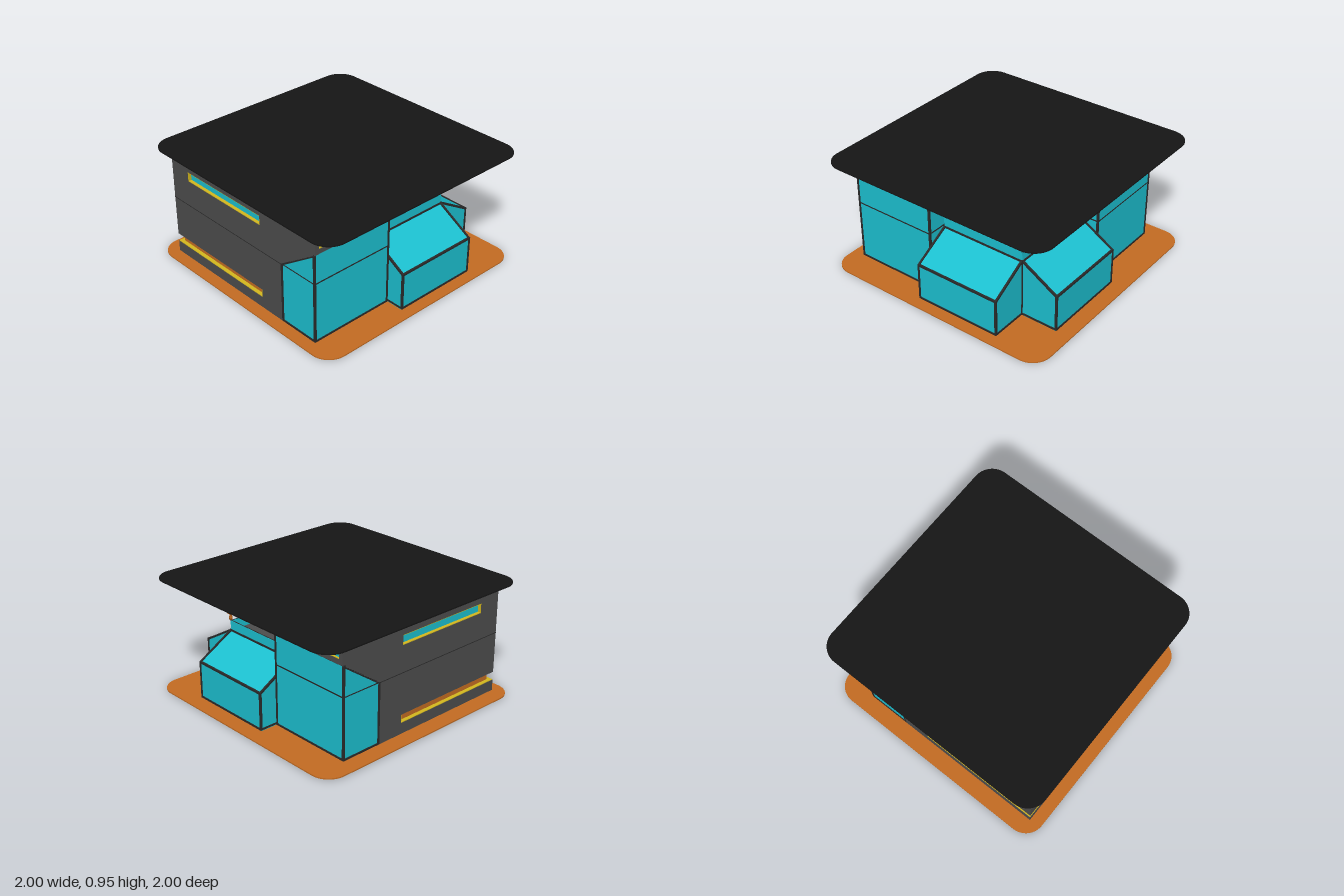
import * as THREE from 'three';

const mat = (color) => new THREE.MeshStandardMaterial({ color });
const M = {
  wall: mat(0x4d4d4d), frame: mat(0x2a2a2a), roof: mat(0x151515),
  glass: mat(0x1cc0d0), orange: mat(0xc46c22), yellow: mat(0xd4b81e),
};
// The plan mirrors over a diagonal: (x, z) -> (C - z, C - x)
const C = 0.035;
const DIAGONAL = new THREE.Matrix4().set(0, 0, -1, C, 0, 1, 0, 0, -1, 0, 0, C, 0, 0, 0, 1);

function mirrored(geo) {
  const g = (geo.index ? geo.toNonIndexed() : geo.clone()).applyMatrix4(DIAGONAL);
  // swap two corners of each triangle so the faces still point outward
  for (const attr of Object.values(g.attributes)) {
    const n = attr.itemSize, a = attr.array;
    for (let i = 0; i < attr.count; i += 3) {
      for (let k = 0; k < n; k++) {
        const p = (i + 1) * n + k, q = (i + 2) * n + k;
        [a[p], a[q]] = [a[q], a[p]];
      }
    }
  }
  return g;
}

// box given by its extents
function block(x0, x1, y0, y1, z0, z1) {
  return new THREE.BoxGeometry(x1 - x0, y1 - y0, z1 - z0)
    .translate((x0 + x1) / 2, (y0 + y1) / 2, (z0 + z1) / 2);
}

// square bar between two points
function bar(a, b, t = 0.016) {
  const p = new THREE.Vector3(...a), q = new THREE.Vector3(...b);
  const dir = q.clone().sub(p);
  const g = new THREE.BoxGeometry(t, dir.length() + t * 0.8, t);
  g.applyQuaternion(new THREE.Quaternion().setFromUnitVectors(new THREE.Vector3(0, 1, 0), dir.normalize()));
  return g.translate(...p.add(q).multiplyScalar(0.5).toArray());
}

// extruded outline in x, y from z0 to z1, with optional rectangular hole
function slab(points, z0, z1, hole) {
  const shape = new THREE.Shape(points.map(([x, y]) => new THREE.Vector2(x, y)));
  if (hole) {
    const [a, b, c, d] = hole;
    shape.holes.push(new THREE.Path([[a, c], [a, d], [b, d], [b, c]].map(([x, y]) => new THREE.Vector2(x, y))));
  }
  return new THREE.ExtrudeGeometry(shape, { depth: z1 - z0, bevelEnabled: false }).translate(0, 0, z0);
}

// flat plate with rounded corners
function plate(y0, y1) {
  const s = new THREE.Shape(), r = 0.16;
  s.absarc(1 - r, 1 - r, r, 0, Math.PI / 2);
  s.absarc(r - 1, 1 - r, r, Math.PI / 2, Math.PI);
  s.absarc(r - 1, r - 1, r, Math.PI, Math.PI * 1.5);
  s.absarc(1 - r, r - 1, r, Math.PI * 1.5, Math.PI * 2);
  return new THREE.ExtrudeGeometry(s, { depth: y1 - y0, bevelEnabled: false, curveSegments: 12 })
    .rotateX(-Math.PI / 2).translate(0, y0, 0);
}

export function createModel() {
  const model = new THREE.Group();
  model.name = 'house';
  const add = (name, geo, material) => {
    const m = new THREE.Mesh(geo, material);
    m.name = name;
    model.add(m);
  };
  const pair = (name, geo, material) => {
    add(name, geo, material);
    add(name + 'Mirrored', mirrored(geo), material);
  };
  // pane with yellow reveals, set into a wall facing +z
  const recess = (x0, x1, y0, y1, zBack, zFront, paneMat, openLeft) => {
    const t = 0.005;
    const parts = [
      [paneMat, block(openLeft ? x0 + 0.035 : x0 - 0.01, x1 + 0.01, y0 - 0.01, y1 + 0.01, zBack - 0.01, zBack)],
      [M.yellow, block(x0, x1, y0, y0 + t, zBack, zFront)],
      [M.yellow, block(x1 - t, x1, y0, y1, zBack, zFront)],
    ];
    if (!openLeft) {
      parts.push([M.yellow, block(x0, x0 + t, y0, y1, zBack, zFront)]);
      parts.push([M.yellow, block(x0, x1, y1 - t, y1, zBack, zFront)]);
    }
    return parts;
  };

  // Ground and roof plates
  add('basePlate', plate(0, 0.01), M.orange);
  add('roofPlate', plate(0.943, 0.953), M.roof);

  // Outer wall with a slanted cut, a window and a low slot open at the corner
  const outer = [[-0.865, 0.01], [0.41, 0.01], [0.41, 0.51], [0.77, 0.76], [0.77, 0.945], [-0.865, 0.945],
    [-0.865, 0.17], [0.18, 0.17], [0.18, 0.1], [-0.865, 0.1]];
  pair('outerWall', slab(outer, 0.865, 0.9, [-0.67, 0.18, 0.73, 0.81]), M.wall);
  for (const [m, g] of recess(-0.67, 0.18, 0.73, 0.81, 0.872, 0.898, M.glass, false)) pair('upperWindow', g, m);
  for (const [m, g] of recess(-0.863, 0.18, 0.1, 0.17, 0.867, 0.898, M.orange, true)) pair('lowSlot', g, m);
  pair('wallGroove', block(-0.866, 0.41, 0.508, 0.514, 0.88, 0.901), M.frame);

  // Inner wall of each wing
  const inner = [[-0.135, 0.5], [0.25, 0.5], [0.77, 0.76], [0.77, 0.945], [-0.135, 0.945]];
  pair('innerWall', slab(inner, 0.17, 0.205), M.wall);

  // Upper end wall of each wing, with its window
  const end = [[-0.9, 0.76], [-0.17, 0.76], [-0.17, 0.945], [-0.9, 0.945]];
  pair('endWall', slab(end, 0.735, 0.771, [-0.87, -0.21, 0.8, 0.9]).rotateY(Math.PI / 2), M.wall);
  for (const [m, g] of recess(-0.87, -0.21, 0.8, 0.9, 0.755, 0.769, M.glass, false)) {
    pair('endWindow', g.rotateY(Math.PI / 2), m);
  }

  // Glazed end of each wing
  pair('glazedEnd', block(0.25, 0.755, 0.01, 0.765, 0.178, 0.894), M.glass);
  for (const z of [0.892, 0.178]) {
    pair('endPost', bar([0.752, 0.02, z], [0.752, 0.755, z]), M.frame);
  }
  for (const [y, t] of [[0.017, 0.016], [0.511, 0.01], [0.757, 0.014]]) {
    pair('endRail', bar([0.752, y, 0.892], [0.752, y, 0.178], t), M.frame);
  }
  pair('sidePost', bar([0.41, 0.02, 0.893], [0.41, 0.51, 0.893], 0.016), M.frame);
  for (const [y, t] of [[0.017, 0.016], [0.511, 0.008]]) {
    pair('sideRail', bar([0.41, y, 0.892], [0.752, y, 0.892], t), M.frame);
  }
  pair('slantRail', bar([0.41, 0.509, 0.893], [0.755, 0.749, 0.893], 0.014), M.frame);
  pair('innerRail', bar([0.25, 0.511, 0.18], [0.752, 0.511, 0.18], 0.01), M.frame);

  // Glazed bay in the inner corner, and the terrace below it
  add('glazedBay', block(-0.135, 0.25, 0.5, 0.944, -0.23, 0.175), M.glass);
  add('terrace', block(-0.14, 0.595, 0.01, 0.5, -0.56, 0.175), M.wall);
  pair('balustrade', block(0.585, 0.597, 0.5, 0.58, -0.56, 0.17), M.glass);
  pair('balustradeRail', bar([0.591, 0.58, -0.56], [0.591, 0.58, 0.17], 0.006), M.frame);

  // Lean-to glasshouses around the terrace
  const lean = [[0.59, 0.01], [0.905, 0.01], [0.905, 0.32], [0.59, 0.5]];
  pair('leanTo', slab(lean, -0.56, 0.17), M.glass);
  for (const z of [-0.557, 0.165]) {
    const corners = [[0.595, 0.024, z], [0.902, 0.024, z], [0.902, 0.32, z], [0.595, 0.5, z]];
    corners.forEach((c, i) => pair('leanToEndBar', bar(c, corners[(i + 1) % 4]), M.frame));
  }
  for (const [x, y] of [[0.902, 0.022], [0.902, 0.32], [0.595, 0.5]]) {
    pair('leanToLongBar', bar([x, y, -0.557], [x, y, 0.165]), M.frame);
  }

  // Lantern on the terrace corner
  const lantern = new THREE.Group();
  lantern.name = 'lantern';
  lantern.position.set(0.593, 0.58, -0.56);
  const part = (name, geo, m) => {
    const mesh = new THREE.Mesh(geo, m);
    mesh.name = name;
    lantern.add(mesh);
  };
  const stem = [[0, 0.01], [0.014, 0.01], [0.014, 0.03], [0.009, 0.045], [0.02, 0.066], [0, 0.066]];
  part('lanternStem', new THREE.LatheGeometry(stem.map((p) => new THREE.Vector2(...p)), 8), M.orange);
  part('lanternLight', new THREE.CylinderGeometry(0.017, 0.014, 0.04, 8).translate(0, 0.083, 0), M.yellow);
  for (let i = 0; i < 4; i++) {
    const a = (i + 0.5) * Math.PI / 2, x = Math.cos(a), z = Math.sin(a);
    part('lanternRib', bar([x * 0.018, 0.06, z * 0.018], [x * 0.029, 0.105, z * 0.029], 0.009), M.orange);
  }
  part('lanternCap', new THREE.CylinderGeometry(0.012, 0.03, 0.014, 8).translate(0, 0.107, 0), M.orange);
  part('lanternTip', new THREE.CylinderGeometry(0.005, 0.008, 0.018, 8).translate(0, 0.122, 0), M.orange);
  model.add(lantern);

  return model;
}
